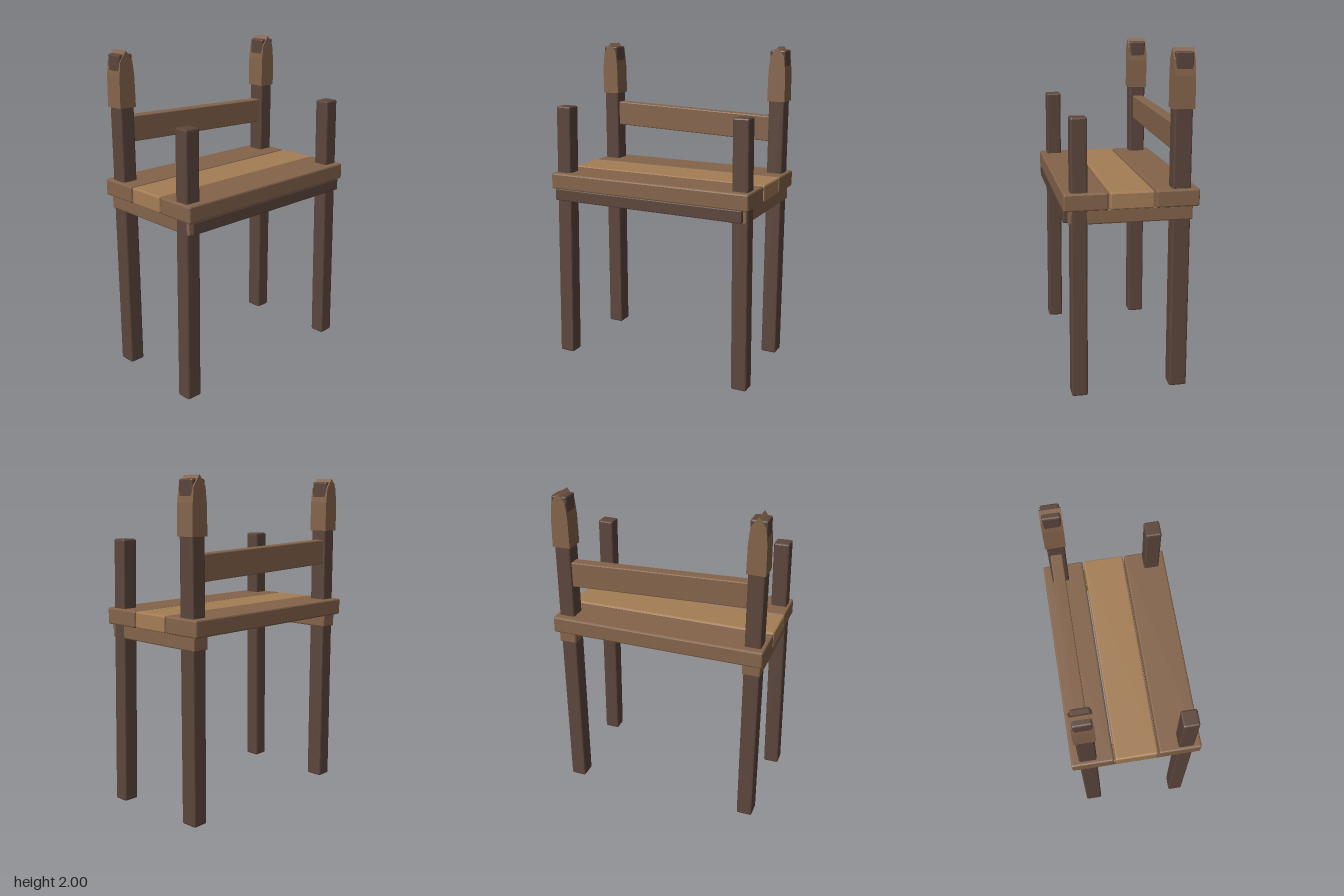
import * as THREE from 'three';
import { RoundedBoxGeometry } from 'three/addons/geometries/RoundedBoxGeometry.js';

export function createModel() {
  const model = new THREE.Group();
  model.name = 'chair';

  const material = (name, color) => {
    const m = new THREE.MeshStandardMaterial({ color });
    m.name = name;
    return m;
  };
  const darkWood = material('darkWood', 0x5c463c);
  const brownWood = material('brownWood', 0x84644b);
  const tanWood = material('tanWood', 0xa57e55);

  const add = (name, geometry, mat, x, y, z) => {
    const mesh = new THREE.Mesh(geometry, mat);
    mesh.name = name;
    mesh.position.set(x, y, z);
    model.add(mesh);
    return mesh;
  };

  // Faceted timber given by its limits on each axis
  const timber = (name, mat, [x0, x1], [y0, y1], [z0, z1], bevel = 0.01) => {
    const g = new RoundedBoxGeometry(x1 - x0, y1 - y0, z1 - z0, 1, bevel);
    g.computeVertexNormals();
    return add(name, g, mat, (x0 + x1) / 2, (y0 + y1) / 2, (z0 + z1) / 2);
  };

  // Seat planks
  timber('frontPlank', brownWood, [-0.662, 0.662], [1.12, 1.222], [0.134, 0.386]);
  timber('middlePlank', tanWood, [-0.662, 0.662], [1.12, 1.222], [-0.128, 0.125]);
  timber('backPlank', brownWood, [-0.662, 0.662], [1.12, 1.222], [-0.39, -0.138]);

  // Front rail under the seat
  timber('frontRail', darkWood, [-0.635, 0.625], [1.05, 1.125], [0.32, 0.386], 0.006);

  // Pointed cap outline
  const capShape = new THREE.Shape([
    [-0.056, 1.67], [0.056, 1.67], [0.053, 1.85], [0.043, 1.94],
    [0, 2], [-0.043, 1.94], [-0.053, 1.85],
  ].map(([x, y]) => new THREE.Vector2(x, y)));

  for (const [side, s] of [['left', 1], ['right', -1]]) {
    const x = s * 0.59;

    // Front leg, leaning slightly in towards the top
    const leg = timber(`${side}FrontLeg`, darkWood, [-0.049, 0.049], [0.005, 1.638], [0.252, 0.346]);
    leg.position.x = s * 0.602;
    leg.rotation.set(-0.0074, 0, s * 0.0153);

    // Back leg reaching up through its cap
    timber(`${side}BackLeg`, darkWood, [x - 0.049, x + 0.049], [0.005, 1.98], [-0.343, -0.237]);

    // Side rail under the seat
    timber(`${side}SideRail`, brownWood, [x - 0.055, x + 0.055], [1.04, 1.125], [-0.355, 0.36], 0.008);

    // Post cap
    const cap = new THREE.ExtrudeGeometry(capShape, { depth: 0.122, bevelEnabled: false });
    add(`${side}PostCap`, cap, brownWood, x, 0, -0.352);
  }

  // Crooked back slat
  const slat = timber('backSlat', brownWood, [-0.56, 0.56], [1.436, 1.592], [-0.33, -0.26], 0.006);
  slat.rotation.z = -0.034;

  return model;
}
